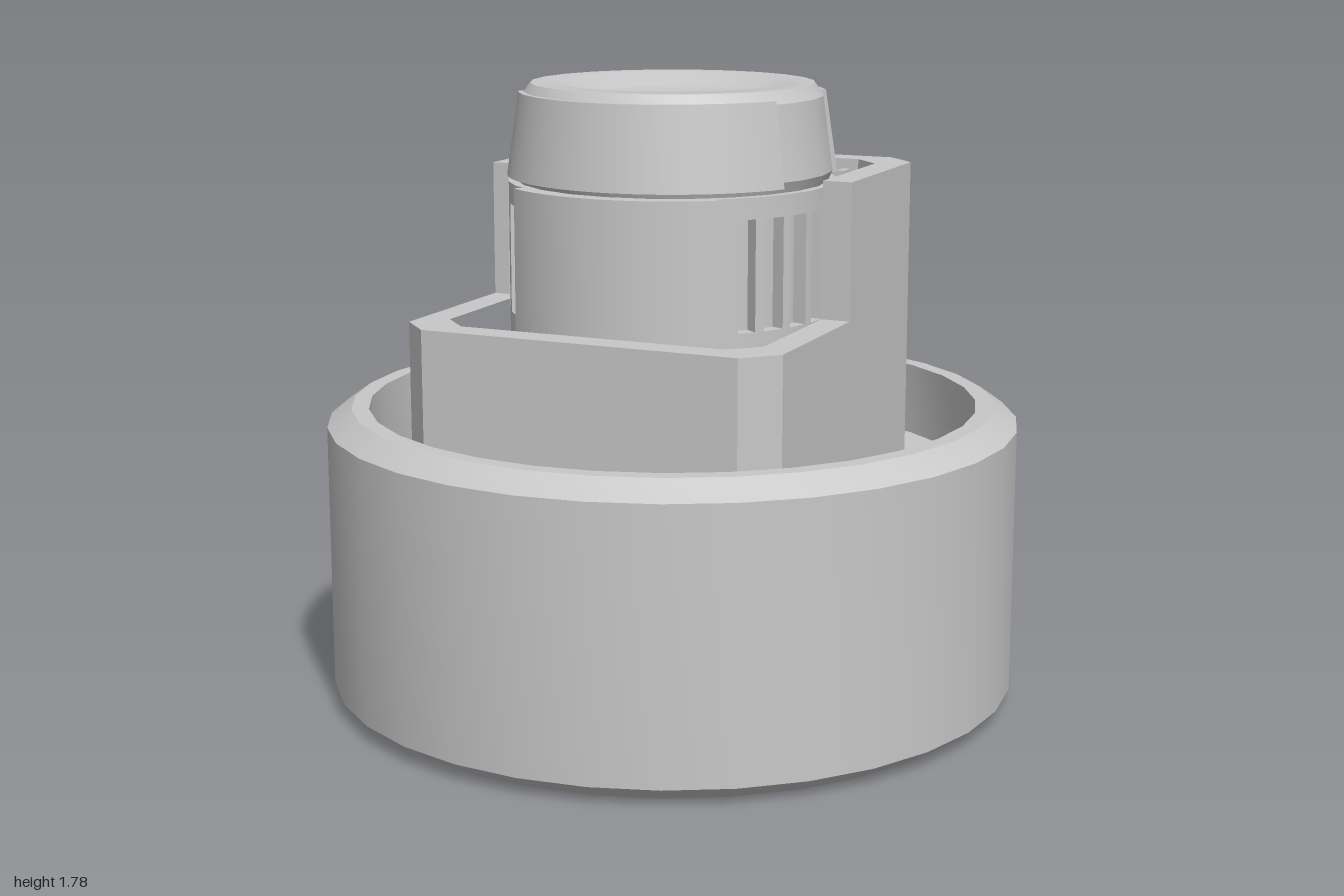
import * as THREE from 'three';
import { toCreasedNormals } from 'three/addons/utils/BufferGeometryUtils.js';

const grey = new THREE.MeshStandardMaterial({ color: 0xc8c8c8 });
grey.name = 'plain grey';

export function createModel() {
  const model = new THREE.Group();
  model.name = 'ductedFanUnit';

  const add = (name, geometry) => {
    const mesh = new THREE.Mesh(geometry, grey);
    mesh.name = name;
    model.add(mesh);
    return mesh;
  };
  const lathe = (name, points, sides) => add(name, toCreasedNormals(
    new THREE.LatheGeometry(points.map(([r, y]) => new THREE.Vector2(r, y)), sides), 0.45));
  const box = (name, x0, x1, y0, y1, z0, z1) => {
    const mesh = add(name, new THREE.BoxGeometry(x1 - x0, y1 - y0, z1 - z0));
    mesh.position.set((x0 + x1) / 2, (y0 + y1) / 2, (z0 + z1) / 2);
    return mesh;
  };
  // Plan outlines are drawn in (x, -z) and raised from y0 to y1
  const raise = (shape, y0, y1) => {
    const geo = new THREE.ExtrudeGeometry(shape, { depth: y1 - y0, bevelEnabled: false, curveSegments: 12 });
    return geo.rotateX(-Math.PI / 2).translate(0, y0, 0);
  };
  const outline = (points) => new THREE.Shape(points.map(([x, z]) => new THREE.Vector2(x, -z)));
  // Ring sector centred on an angle measured from +x towards -z
  const sector = (rIn, rOut, centre, half) => {
    const shape = new THREE.Shape();
    shape.absarc(0, 0, rOut, centre - half, centre + half, false);
    shape.absarc(0, 0, rIn, centre + half, centre - half, true);
    shape.closePath();
    return shape;
  };

  // Outer duct with chamfered rims and an inner ledge at both ends
  lathe('duct', [[0.93, 0], [1, 0.05], [1, 0.815], [0.93, 0.865], [0.88, 0.865], [0.88, 0.65],
    [0.75, 0.65], [0.75, 0.23], [0.88, 0.23], [0.88, 0], [0.93, 0]], 32);

  // Hub with the shaft end pointing down
  lathe('hub', [[0, 0.2], [0.045, 0.2], [0.045, 0.17], [0.075, 0.17], [0.1, 0.2], [0.1, 0.35],
    [0.15, 0.35], [0.18, 0.38], [0.18, 0.5], [0, 0.5]], 24);

  // Six tapered struts from hub to duct
  for (let i = 0; i < 6; i++) {
    const strut = add('strut', raise(outline([[0.1, 0.12], [0.755, 0.05], [0.755, -0.05], [0.1, -0.12]]), 0.3, 0.5));
    strut.rotation.y = i * Math.PI / 3;
  }

  // Housing: chamfered wall, low at the front and high at the back
  const outer = [[-0.565, -0.475], [-0.475, -0.565], [0.465, -0.565], [0.555, -0.475],
    [0.555, 0.535], [0.465, 0.625], [-0.475, 0.625], [-0.565, 0.535]];
  const inner = [[-0.48, -0.40], [-0.40, -0.48], [0.39, -0.48], [0.47, -0.40],
    [0.47, 0.455], [0.39, 0.535], [-0.40, 0.535], [-0.48, 0.455]];
  const wall = outline(outer);
  wall.holes.push(outline(inner));
  add('housingWall', raise(wall, 0.5, 1.14));
  const backWall = outline([[-0.565, 0.03], ...outer.slice(0, 4), [0.555, 0.03],
    [0.47, 0.03], ...inner.slice(0, 4).reverse(), [-0.48, 0.03]]);
  add('housingBackWall', raise(backWall, 1.14, 1.53));

  // Motor body: core, upper band, front bulge and squared back
  lathe('motorCore', [[0, 0.5], [0.43, 0.5], [0.43, 1.5], [0, 1.5]], 32);
  lathe('motorLowerBand', [[0.42, 0.5], [0.47, 0.5], [0.47, 1.14], [0.42, 1.14]], 32);
  lathe('motorUpperBand', [[0.42, 1.45], [0.47, 1.45], [0.47, 1.51], [0.42, 1.51]], 32);
  add('motorFront', toCreasedNormals(raise(sector(0.4, 0.495, -Math.PI / 2, 0.67), 0.5, 1.51), 0.45));
  box('motorBack', -0.315, 0.315, 0.5, 1.5, -0.43, -0.2);

  // Vent ribs and rear guide rails on both sides
  for (const side of [-1, 1]) {
    for (const a of [0.83, 0.62, 0.42, 0.22, 0.02, -0.2, -0.42, -0.62]) {
      const angle = side > 0 ? -a : Math.PI + a;
      add('ventRib', raise(sector(0.42, 0.47, angle, a > 0.8 ? 0.07 : 0.03), 1.14, 1.45));
    }
    box('guidePlate', side * 0.275 - 0.09, side * 0.275 + 0.09, 0.5, 1.4, -0.445, -0.425);
    for (const x of [0.197, 0.353]) {
      box('guideRail', side * x - 0.013, side * x + 0.013, 0.5, 1.5, -0.485, -0.43);
    }
  }

  // Knob with a dished top
  lathe('knob', [[0, 1.5], [0.44, 1.5], [0.458, 1.54], [0.43, 1.75], [0.405, 1.785],
    [0.33, 1.785], [0.26, 1.755], [0, 1.755]], 24);

  // Raised grips around the front and back of the knob, narrowing upwards
  for (const centre of [-Math.PI / 2, Math.PI / 2]) {
    const grip = raise(sector(0.42, 0.472, centre, 1.12), 1.525, 1.76);
    const pos = grip.attributes.position;
    for (let i = 0; i < pos.count; i++) {
      const k = pos.getY(i) > 1.6 ? 0.925 : 1;
      pos.setX(i, pos.getX(i) * k);
      pos.setZ(i, pos.getZ(i) * k);
    }
    add('knobGrip', toCreasedNormals(grip, 0.45));
  }
  return model;
}
